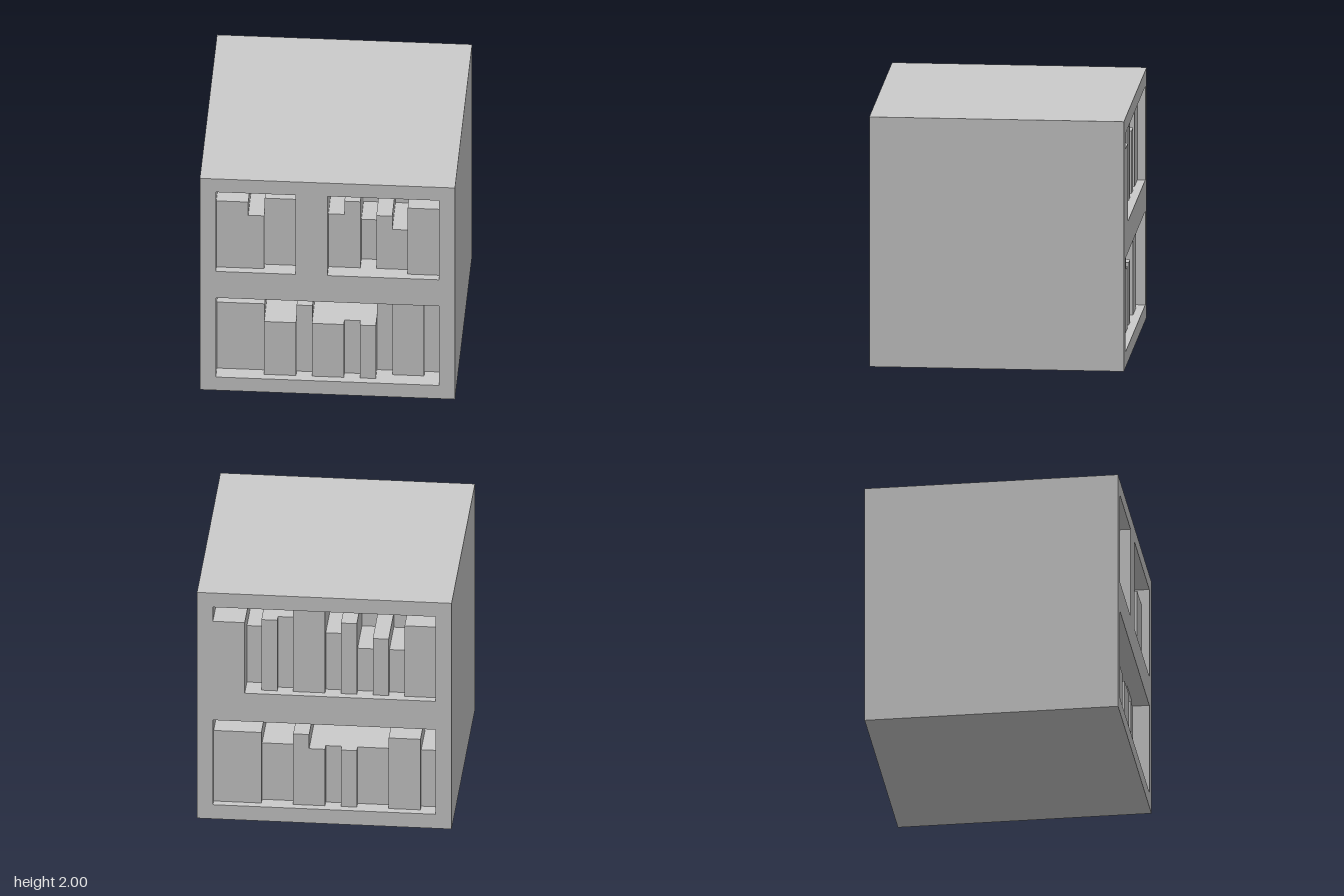
import * as THREE from 'three';

const U = 1 / 8;      // the block is a 16 x 16 x 16 grid of units
const RECESS = 4;     // depth of the shelf openings
const material = new THREE.MeshStandardMaterial({ color: 0xcccccc, flatShading: true });

// Openings: [x0, x1, y0, y1]. Books: [x0, x1, top, setback], standing on the shelf floor.
const FRONT = {
  openings: [[1, 6, 9, 15], [8, 15, 9, 15], [1, 15, 1, 7]],
  upper: [
    [1, 3, 14, 0.5], [3, 4, 13, 0.5], [4, 6, 14, 1],
    [8, 9, 13, 1], [9, 10, 14, 1], [10, 11, 12, 2],
    [11, 12, 13, 1], [12, 13, 12, 1], [13, 15, 14, 0.5],
  ],
  lower: [
    [1, 4, 6, 1], [4, 6, 5, 0.5], [6, 7, 6, 1], [7, 9, 5, 0.5], [9, 10, 5, 1],
    [10, 11, 5, 0.5], [11, 12, 6, 1.5], [12, 14, 7, 1], [14, 15, 6, 1.5],
  ],
};
const BACK = {
  openings: [[1, 15, 9, 15], [1, 15, 1, 7]],
  upper: [
    [1, 3, 14, 0], [3, 4, 13, 1.5], [4, 5, 14, 0.5], [5, 6, 14, 1],
    [6, 8, 15, 0.5], [8, 9, 13, 1], [9, 10, 14, 0.5], [10, 11, 12, 1],
    [11, 12, 13, 0.5], [12, 13, 12, 1], [13, 15, 14, 0.5],
  ],
  lower: [
    [1, 4, 6, 0.5], [4, 6, 5, 1], [6, 7, 6, 0.5], [7, 8, 5, 0.5], [8, 9, 5, 1],
    [9, 10, 5, 0.5], [10, 12, 5, 1], [12, 14, 6, 0.5], [14, 15, 5, 1],
  ],
};

// Rectangle outline in grid units, centred on x
function rectangle(Type, x0, x1, y0, y1) {
  const corners = [[x0, y0], [x1, y0], [x1, y1], [x0, y1]];
  return new Type(corners.map(([x, y]) => new THREE.Vector2((x - 8) * U, y * U)));
}

function addMesh(parent, geometry, name) {
  const mesh = new THREE.Mesh(geometry, material);
  mesh.name = name;
  parent.add(mesh);
  return mesh;
}

// One row of books, each reaching from the recess wall to its own setback
function bookRow(books, floor, name) {
  const row = new THREE.Group();
  row.name = name;
  for (const [x0, x1, top, setback] of books) {
    const depth = RECESS - setback;
    const geometry = new THREE.BoxGeometry((x1 - x0) * U, (top - floor) * U, depth * U);
    addMesh(row, geometry, 'book').position.set(
      ((x0 + x1) / 2 - 8) * U, ((top + floor) / 2) * U, (8 - RECESS + depth / 2) * U);
  }
  return row;
}

// Frame with openings and two book rows, facing +z
function shelfSide(side, name) {
  const group = new THREE.Group();
  group.name = name;
  const outline = rectangle(THREE.Shape, 0, 16, 0, 16);
  outline.holes = side.openings.map((o) => rectangle(THREE.Path, ...o));
  const frame = new THREE.ExtrudeGeometry(outline, { depth: RECESS * U, bevelEnabled: false });
  addMesh(group, frame, 'shelfFrame').position.z = (8 - RECESS) * U;
  group.add(bookRow(side.upper, 9, 'upperBooks'), bookRow(side.lower, 1, 'lowerBooks'));
  return group;
}

export function createModel() {
  const model = new THREE.Group();
  model.name = 'bookshelfBlock';

  // Solid middle that closes the back of the openings
  const core = new THREE.BoxGeometry(16 * U, 16 * U, (16 - 2 * RECESS) * U);
  addMesh(model, core, 'core').position.y = 8 * U;

  // Shelves on the front and, turned round, on the back
  const back = shelfSide(BACK, 'backShelves');
  back.rotation.y = Math.PI;
  model.add(shelfSide(FRONT, 'frontShelves'), back);
  return model;
}
